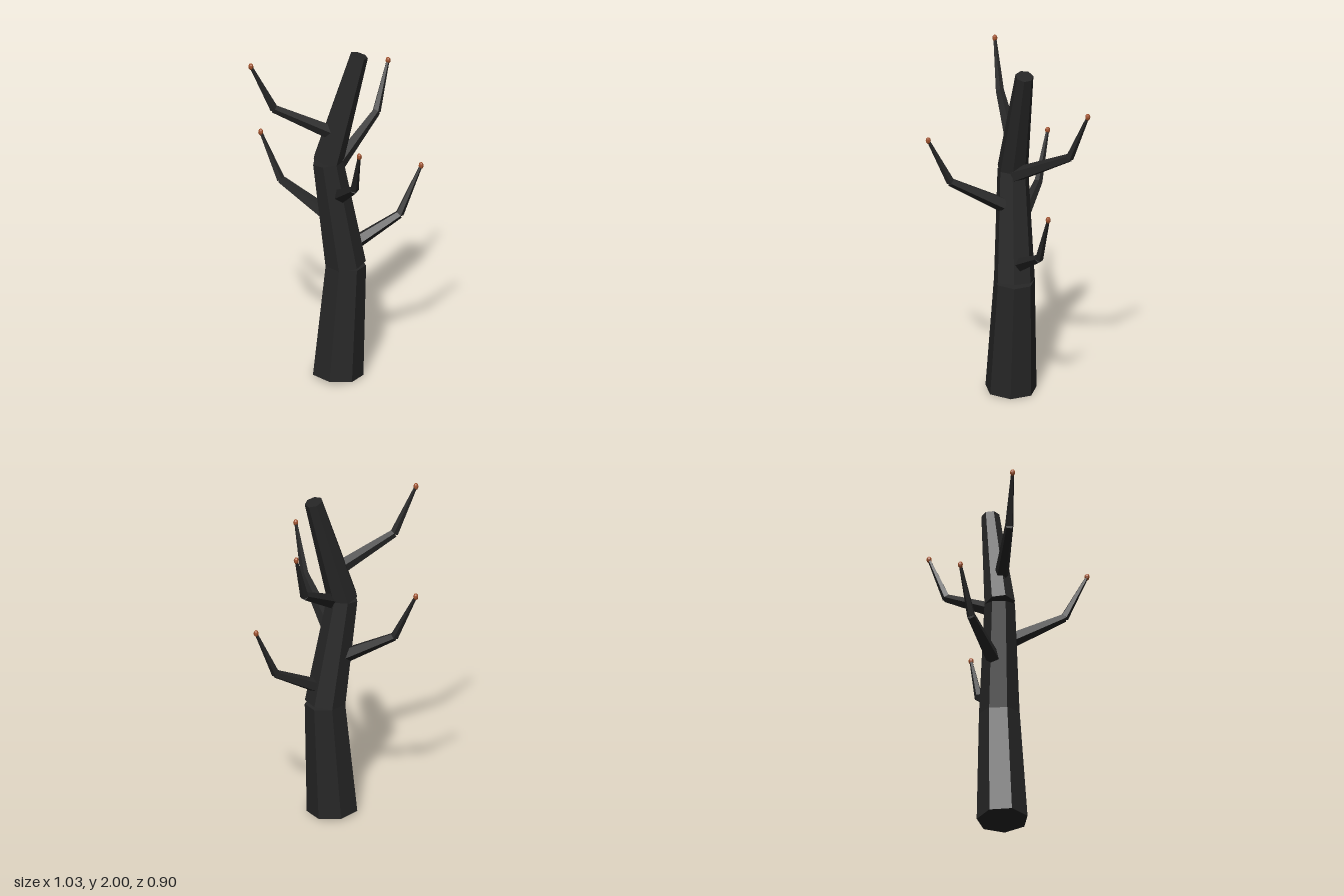
import * as THREE from 'three';

const V = (p) => new THREE.Vector3(...p);
const UP = new THREE.Vector3(0, 1, 0);

export function createModel() {
  const bark = new THREE.MeshStandardMaterial({ color: 0x262626, flatShading: true });
  bark.name = 'charredBark';
  const ember = new THREE.MeshStandardMaterial({ color: 0xa0522d, flatShading: true });
  ember.name = 'emberOrange';

  const tree = new THREE.Group();
  tree.name = 'bareTree';

  // Tapered, capped limb running from point a to point b
  function limb(name, a, b, rA, rB, sides, turn = 0) {
    const from = V(a), dir = V(b).sub(from), length = dir.length();
    const geo = new THREE.CylinderGeometry(rB, rA, length, sides, 1, false, turn);
    const mesh = new THREE.Mesh(geo, bark);
    mesh.name = name;
    mesh.position.copy(from).addScaledVector(dir, 0.5);
    mesh.quaternion.setFromUnitVectors(UP, dir.normalize());
    return mesh;
  }

  // Trunk: three leaning sections, leaving open wedges at the joints
  const trunk = new THREE.Group();
  trunk.name = 'trunk';
  const joints = [
    { p: [-0.015, 0.012, -0.06], r: 0.15 },
    { p: [0.033, 0.695, -0.06], r: 0.12 },
    { p: [-0.062, 1.345, -0.093], r: 0.09 },
    { p: [0.125, 1.985, -0.082], r: 0.053 },
  ];
  const names = ['lowerTrunk', 'middleTrunk', 'upperTrunk'];
  names.forEach((name, i) => {
    const a = joints[i], b = joints[i + 1];
    trunk.add(limb(name, a.p, b.p, a.r, b.r, 7, 0.24));
  });
  tree.add(trunk);

  // Branches: base, elbow and tip of each
  const branches = {
    rightUpperBranch: [[-0.01, 1.51, -0.072], [-0.37, 1.70, -0.15], [-0.5, 1.975, -0.177]],
    leftUpperBranch: [[0.0, 1.33, -0.08], [0.305, 1.515, -0.283], [0.402, 1.79, -0.355]],
    frontBranch: [[-0.012, 1.155, -0.01], [-0.045, 1.335, 0.305], [-0.064, 1.605, 0.437]],
    backBranch: [[-0.05, 0.99, -0.12], [-0.258, 1.15, -0.34], [-0.344, 1.42, -0.438]],
    leftLowerBranch: [[0.04, 0.785, -0.067], [0.365, 0.95, -0.065], [0.497, 1.237, -0.064]],
  };
  const tipGeo = new THREE.SphereGeometry(0.015, 7, 6);
  tipGeo.scale(1, 1.35, 1);
  for (const [name, [base, elbow, tip]] of Object.entries(branches)) {
    const branch = new THREE.Group();
    branch.name = name;
    branch.add(limb('branchArm', base, elbow, 0.045, 0.025, 5));
    branch.add(limb('branchTwig', elbow, tip, 0.025, 0.009, 5));
    const bud = new THREE.Mesh(tipGeo, ember);
    bud.name = 'glowingTip';
    bud.position.set(...tip);
    branch.add(bud);
    tree.add(branch);
  }

  return tree;
}
